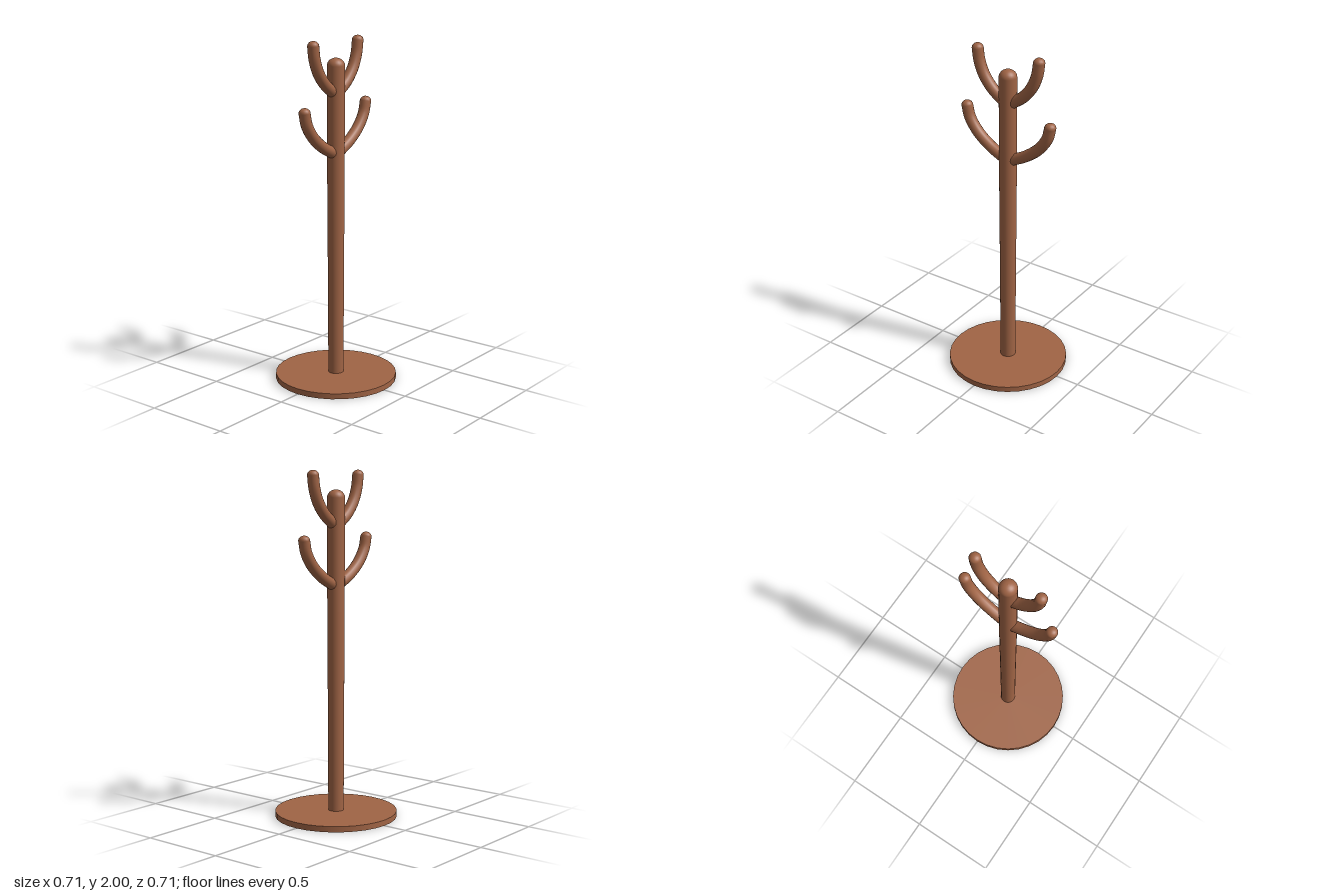
import * as THREE from 'three';

const ARM_RADIUS = 0.033;

export function createModel() {
  const group = new THREE.Group();
  const wood = new THREE.MeshStandardMaterial({ color: 0xa06445 });
  wood.name = 'brown wood';

  const add = (parent, name, geometry) => {
    const mesh = new THREE.Mesh(geometry, wood);
    mesh.name = name;
    parent.add(mesh);
    return mesh;
  };

  // Round foot plate
  add(group, 'base', new THREE.CylinderGeometry(0.355, 0.355, 0.033, 32)).position.y = 0.0165;

  // Pole with a slight taper and a rounded top
  const profile = [[0.045, 0.02], [0.047, 0.6], [0.05, 1.2], [0.051, 1.845]].map(([r, y]) => new THREE.Vector2(r, y));
  for (let i = 1; i <= 8; i++) {
    const a = (i / 8) * Math.PI / 2;
    profile.push(new THREE.Vector2(i === 8 ? 0 : 0.051 * Math.cos(a), 1.845 + 0.045 * Math.sin(a)));
  }
  add(group, 'pole', new THREE.LatheGeometry(profile, 24));

  // Curved hook arms, mirrored left and right
  const arms = {
    upper: [[0.033, 1.703], [0.1, 1.752], [0.157, 1.822], [0.189, 1.9], [0.2, 1.972]],
    lower: [[0.033, 1.356], [0.12, 1.401], [0.205, 1.468], [0.259, 1.545], [0.277, 1.614]],
  };
  for (const [level, points] of Object.entries(arms)) {
    for (const side of [1, -1]) {
      const arm = new THREE.Group();
      arm.name = `${level}${side > 0 ? 'Left' : 'Right'}Arm`;
      const path = points.map(([x, y]) => new THREE.Vector3(x * side, y, 0));
      add(arm, 'hook', new THREE.TubeGeometry(new THREE.CatmullRomCurve3(path), 24, ARM_RADIUS, 16));

      // Rounded ends
      const root = add(arm, 'hookRoot', new THREE.SphereGeometry(ARM_RADIUS, 16, 12));
      root.position.copy(path[0]);
      const tip = add(arm, 'hookTip', new THREE.SphereGeometry(ARM_RADIUS, 16, 12));
      tip.position.copy(path[path.length - 1]);
      tip.scale.y = 0.85;
      group.add(arm);
    }
  }
  return group;
}
